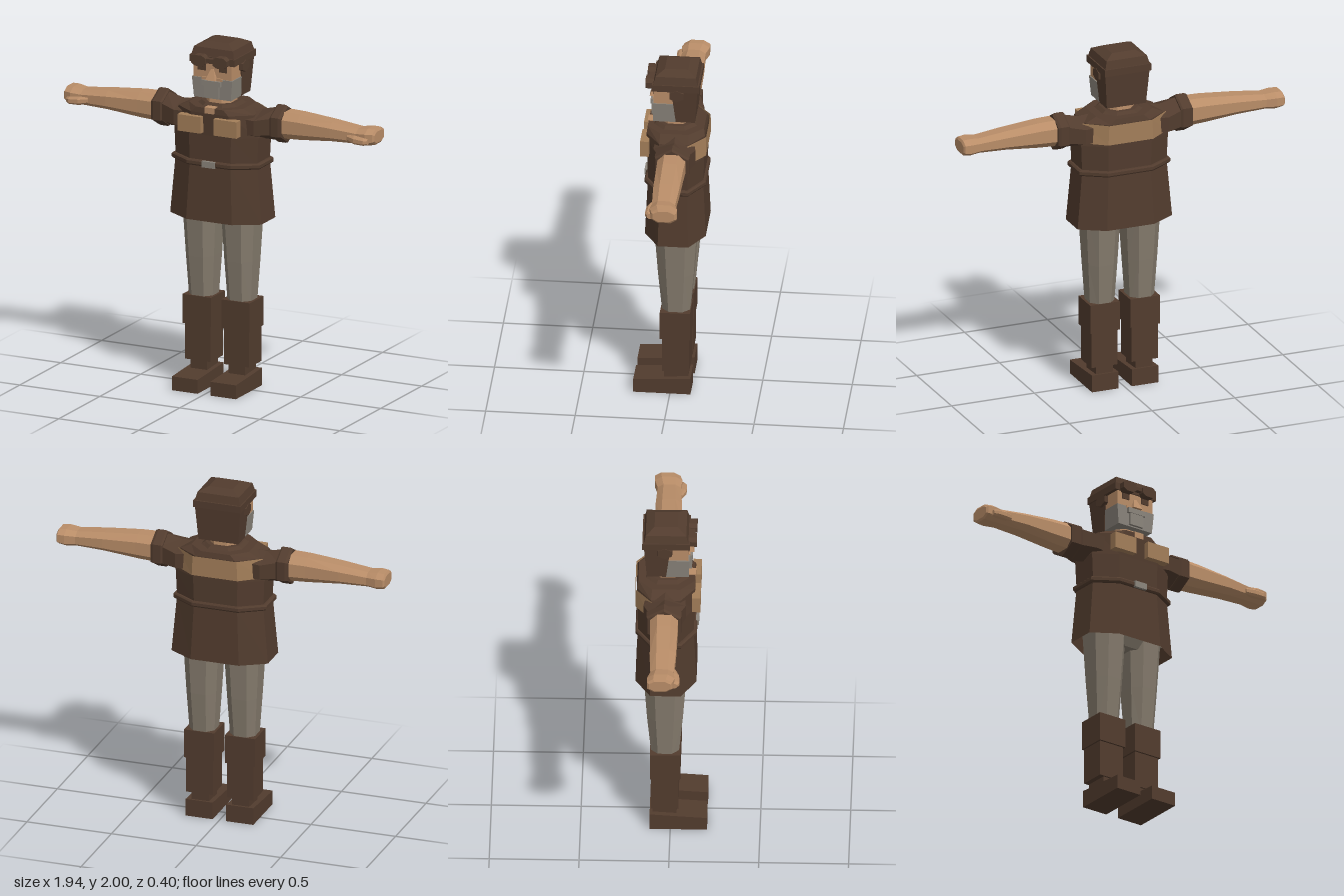
import * as THREE from 'three';

const mat = (name, color, side = THREE.FrontSide) =>
  new THREE.MeshStandardMaterial({ name, color, side, flatShading: true });

// Unit cross-sections
const RECT = [[-1, -1], [1, -1], [1, 1], [-1, 1]];
const HEX = [[0, -1], [1, -0.5], [1, 0.5], [0, 1], [-1, 0.5], [-1, -0.5]];
const OCT = [[-0.5, -1], [0.5, -1], [1, -0.5], [1, 0.5], [0.5, 1], [-0.5, 1], [-1, 0.5], [-1, -0.5]];

// Loft of one cross-section along an axis; section = [t, u0, u1, v0, v1]
// axis x: u = z, v = y; axis y: u = x, v = z; axis z: u = x, v = y
function loft(axis, shape, sections, capStart = true, capEnd = true) {
  const rings = sections.map(([t, u0, u1, v0, v1]) => shape.map(([a, b]) => {
    const u = (u0 + u1) / 2 + a * (u1 - u0) / 2;
    const v = (v0 + v1) / 2 + b * (v1 - v0) / 2;
    if (axis === 'x') return new THREE.Vector3(t, v, u);
    return axis === 'y' ? new THREE.Vector3(u, t, v) : new THREE.Vector3(u, v, t);
  }));
  const n = shape.length, tris = [];
  for (let i = 0; i + 1 < rings.length; i++) {
    for (let j = 0; j < n; j++) {
      const k = (j + 1) % n, A = rings[i], B = rings[i + 1];
      tris.push([A[j], A[k], B[k]], [A[j], B[k], B[j]]);
    }
  }
  const last = rings[rings.length - 1];
  for (let j = 1; j + 1 < n; j++) {
    if (capStart) tris.push([rings[0][0], rings[0][j + 1], rings[0][j]]);
    if (capEnd) tris.push([last[0], last[j], last[j + 1]]);
  }
  // Turn all faces outward, judged by signed volume about the middle
  const mid = rings[0][0].clone().add(last[n >> 1]).multiplyScalar(0.5);
  let vol = 0;
  for (const [a, b, c] of tris) {
    vol += a.clone().sub(mid).dot(b.clone().sub(mid).cross(c.clone().sub(mid)));
  }
  const pts = tris.flatMap(([a, b, c]) => (vol < 0 ? [a, c, b] : [a, b, c]));
  const g = new THREE.BufferGeometry().setFromPoints(pts);
  g.computeVertexNormals();
  return g;
}

export function createModel() {
  const leather = mat('dark brown leather', 0x523c2e);
  const coatMat = mat('dark brown coat', 0x523c2e, THREE.DoubleSide);
  const skin = mat('skin', 0xb98d68);
  const tan = mat('tan cloth', 0xa37e59, THREE.DoubleSide);
  const cloth = mat('grey trousers', 0x857b6d);
  const grey = mat('grey beard', 0x8b857c);

  const model = new THREE.Group();
  model.name = 'figure';
  const add = (name, geometry, material) => {
    const m = new THREE.Mesh(geometry, material);
    m.name = name;
    model.add(m);
    return m;
  };
  const box = (name, material, x0, x1, y0, y1, z0, z1) =>
    add(name, new THREE.BoxGeometry(Math.abs(x1 - x0), y1 - y0, z1 - z0)
      .translate((x0 + x1) / 2, (y0 + y1) / 2, (z0 + z1) / 2), material);

  // Coat, open at the hem, with belt and buckle
  add('coat', loft('y', OCT, [
    [0.985, -0.285, 0.285, -0.195, 0.145],
    [1.32, -0.255, 0.255, -0.18, 0.13],
    [1.48, -0.262, 0.262, -0.185, 0.132],
    [1.61, -0.235, 0.235, -0.188, 0.138],
    [1.64, -0.17, 0.17, -0.18, 0.135],
  ], false, true), coatMat);
  add('belt', loft('y', OCT, [
    [1.302, -0.268, 0.268, -0.19, 0.142],
    [1.31, -0.275, 0.275, -0.195, 0.148],
    [1.327, -0.275, 0.275, -0.195, 0.148],
    [1.335, -0.266, 0.266, -0.19, 0.142],
  ]), leather);
  box('buckle', grey, -0.04, 0.04, 1.3, 1.336, 0.14, 0.157);
  add('collar', loft('y', OCT, [
    [1.62, -0.15, 0.15, -0.16, 0.12],
    [1.655, -0.1, 0.1, -0.12, 0.085],
  ]), leather);
  add('pelvis', loft('y', OCT, [
    [0.97, -0.08, 0.08, -0.12, 0.06],
    [1.04, -0.23, 0.23, -0.16, 0.1],
    [1.1, -0.23, 0.23, -0.16, 0.1],
  ]), cloth);

  // Tan yoke wrapped round the back of the coat
  const yokeColumns = [[-0.262, -0.1], [-0.135, -0.196], [0.135, -0.196], [0.262, -0.1]];
  for (let i = 0; i < 3; i++) {
    const [a, b] = [yokeColumns[i], yokeColumns[i + 1]];
    const [x0, z0, x1, z1] = [...a, ...b];
    const g = new THREE.BufferGeometry().setFromPoints([
      [x0, 1.495, z0], [x0 * 0.96, 1.61, z0], [x1 * 0.96, 1.61, z1],
      [x0, 1.495, z0], [x1 * 0.96, 1.61, z1], [x1, 1.495, z1],
    ].map((p) => new THREE.Vector3(...p)));
    g.computeVertexNormals();
    add('backYoke', g, tan);
  }

  // Neck and open shirt front
  add('neck', loft('y', OCT, [
    [1.6, -0.08, 0.08, -0.1, 0.07],
    [1.7, -0.075, 0.075, -0.095, 0.06],
  ]), skin);
  box('throat', skin, -0.03, 0.03, 1.61, 1.645, 0.09, 0.14);

  // Head, hood and beard
  add('face', loft('y', RECT, [
    [1.69, -0.105, 0.105, -0.1, 0.09],
    [1.8, -0.12, 0.12, -0.12, 0.1],
    [1.9, -0.12, 0.12, -0.12, 0.1],
  ]), skin);
  add('beard', loft('y', RECT, [
    [1.688, -0.115, 0.115, -0.03, 0.102],
    [1.805, -0.126, 0.126, -0.03, 0.106],
  ]), grey);
  box('moustache', grey, -0.058, 0.058, 1.765, 1.795, 0.1, 0.122);
  box('chin', grey, -0.045, 0.045, 1.695, 1.765, 0.1, 0.118);
  box('upperLip', skin, -0.065, 0.065, 1.795, 1.81, 0.1, 0.109);
  add('nose', loft('y', RECT, [
    [1.8, -0.03, 0.03, 0.09, 0.13],
    [1.86, -0.008, 0.008, 0.09, 0.104],
  ]), skin);
  add('hood', loft('y', RECT, [
    [1.69, -0.118, 0.118, -0.132, -0.025],
    [1.9, -0.134, 0.134, -0.148, 0],
  ]), leather);

  // Cap with goggles
  add('capBand', loft('y', RECT, [
    [1.89, -0.14, 0.14, -0.157, 0.108],
    [1.93, -0.14, 0.14, -0.157, 0.108],
  ]), leather);
  add('capCrown', loft('y', RECT, [
    [1.93, -0.133, 0.133, -0.148, 0.1],
    [1.975, -0.122, 0.122, -0.138, 0.088],
    [2.0, -0.07, 0.07, -0.09, 0.04],
  ]), leather);
  box('goggleBridge', leather, -0.03, 0.03, 1.905, 1.925, 0.1, 0.135);

  for (const s of [1, -1]) {
    add('goggleCup', loft('z', OCT, [
      [0.1, s * 0.022, s * 0.11, 1.88, 1.942],
      [0.146, s * 0.022, s * 0.11, 1.88, 1.942],
    ]), leather);
    box('eye', leather, s * 0.042, s * 0.09, 1.847, 1.885, 0.098, 0.105);
    add('earFlap', loft('x', HEX, [
      [s * 0.11, -0.075, 0.012, 1.825, 1.905],
      [s * 0.143, -0.07, 0.007, 1.83, 1.9],
    ]), leather);
    box('chestPocket', tan, s * 0.04, s * 0.185, 1.497, 1.592, 0.12, 0.168);

    // Sleeve, cuff, arm and thumb
    add('sleeve', loft('x', HEX, [
      [s * 0.14, -0.13, 0.08, 1.45, 1.635],
      [s * 0.25, -0.148, 0.088, 1.46, 1.63],
      [s * 0.35, -0.115, 0.055, 1.46, 1.655],
    ]), leather);
    add('sleeveCuff', loft('x', HEX, [
      [s * 0.335, -0.122, 0.06, 1.455, 1.662],
      [s * 0.345, -0.128, 0.066, 1.45, 1.67],
      [s * 0.39, -0.128, 0.066, 1.45, 1.67],
      [s * 0.405, -0.122, 0.06, 1.455, 1.662],
    ]), leather);
    add('arm', loft('x', OCT, [
      [s * 0.36, -0.108, 0.05, 1.485, 1.642],
      [s * 0.5, -0.104, 0.047, 1.492, 1.638],
      [s * 0.7, -0.102, 0.044, 1.51, 1.62],
      [s * 0.86, -0.095, 0.035, 1.515, 1.602],
      [s * 0.92, -0.112, 0.042, 1.512, 1.61],
      [s * 0.962, -0.112, 0.03, 1.52, 1.608],
      [s * 0.97, -0.1, 0.02, 1.53, 1.595],
    ]), skin);
    add('thumb', loft('x', OCT, [
      [s * 0.81, 0.01, 0.045, 1.535, 1.57],
      [s * 0.86, 0.015, 0.066, 1.525, 1.57],
      [s * 0.92, 0.02, 0.068, 1.525, 1.565],
      [s * 0.94, 0.02, 0.055, 1.53, 1.56],
    ]), skin);

    // Trouser leg and boot
    add('trouserLeg', loft('y', OCT, [
      [0.48, s * 0.048, s * 0.192, -0.105, 0.045],
      [0.75, s * 0.032, s * 0.208, -0.13, 0.07],
      [1.06, s * 0.015, s * 0.225, -0.15, 0.092],
    ]), cloth);
    box('bootCuff', leather, s * 0.032, s * 0.21, 0.35, 0.518, -0.113, 0.056);
    box('bootShaft', leather, s * 0.042, s * 0.2, 0.142, 0.36, -0.107, 0.045);
    box('ankle', leather, s * 0.068, s * 0.17, 0.08, 0.15, -0.1, 0.035);
    add('foot', loft('z', RECT, [
      [-0.115, s * 0.04, s * 0.2, 0, 0.1],
      [0.04, s * 0.04, s * 0.2, 0, 0.09],
      [0.205, s * 0.04, s * 0.2, 0, 0.08],
    ]), leather);
  }
  return model;
}
